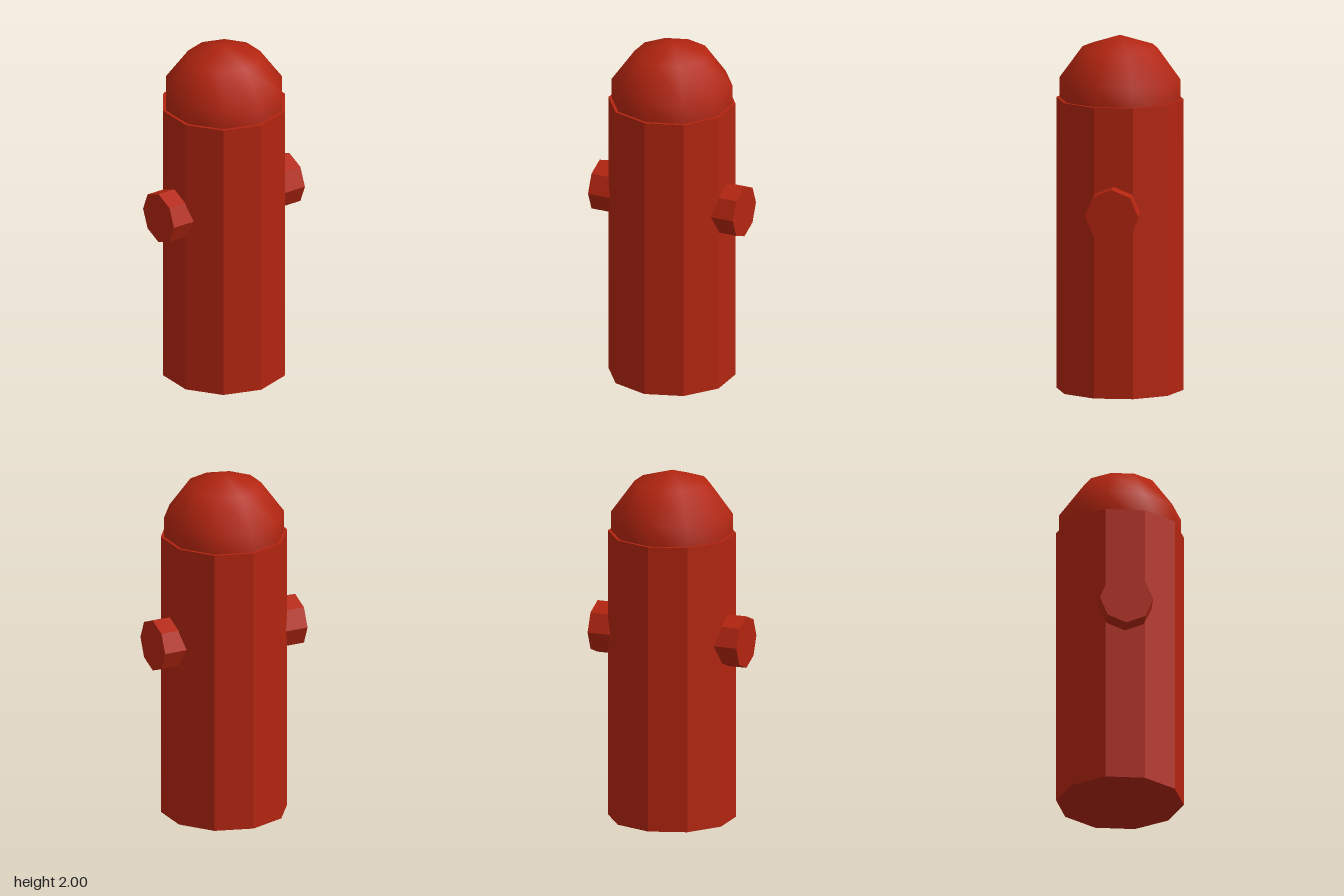
import * as THREE from 'three';

export function createModel() {
  const group = new THREE.Group();
  const red = new THREE.MeshStandardMaterial({ color: 0xb32510 });
  red.name = 'hydrant red';

  const add = (name, geometry, y) => {
    const mesh = new THREE.Mesh(geometry, red);
    mesh.name = name;
    mesh.position.y = y;
    group.add(mesh);
    return mesh;
  };
  // Split the corners so every facet gets its own flat normal
  const faceted = (geometry) => {
    const flat = geometry.toNonIndexed();
    flat.computeVertexNormals();
    return flat;
  };

  const radius = 0.357, bodyHeight = 1.643;

  // Ten-sided barrel with a corner facing front and back
  add('barrel', faceted(new THREE.CylinderGeometry(radius, radius, bodyHeight, 10)), bodyHeight / 2);

  // Smooth low-poly dome, its lower half sunk in the barrel
  add('dome', new THREE.SphereGeometry(radius, 10, 5).rotateY(Math.PI / 2), bodyHeight);

  // Octagonal outlets on both sides
  for (const [name, side] of [['leftOutlet', 1], ['rightOutlet', -1]]) {
    const outlet = new THREE.CylinderGeometry(0.149, 0.149, 0.247, 8).rotateZ(-side * Math.PI / 2);
    add(name, faceted(outlet), 1.05).position.x = side * 0.3235;
  }

  return group;
}
